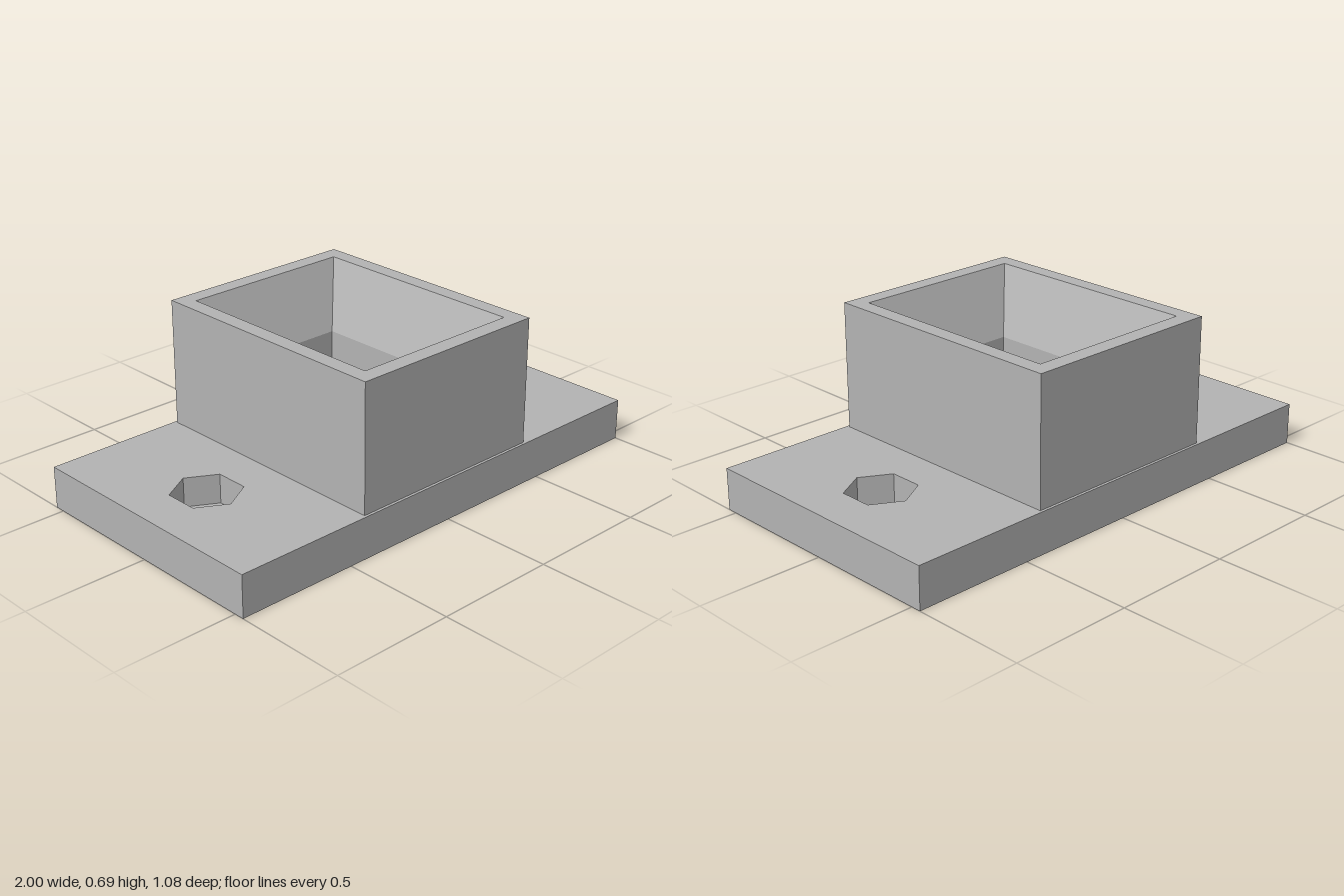
import * as THREE from 'three';

// Corner points of a centred rectangle
function rectPoints(hx, hz) {
  return [[-hx, -hz], [hx, -hz], [hx, hz], [-hx, hz]].map(([x, y]) => new THREE.Vector2(x, y));
}

// Regular polygon outline around (cx, 0), with a corner on the z axis
function polygonPoints(cx, radius, sides) {
  return Array.from({ length: sides }, (_, i) => {
    const a = Math.PI / 2 + (i / sides) * Math.PI * 2;
    return new THREE.Vector2(cx + radius * Math.cos(a), radius * Math.sin(a));
  });
}

// Horizontal slab with holes between two heights
function slab(outline, holes, y0, y1) {
  const shape = new THREE.Shape(outline);
  for (const h of holes) shape.holes.push(new THREE.Path(h));
  const geo = new THREE.ExtrudeGeometry(shape, { depth: y1 - y0, bevelEnabled: false });
  geo.rotateX(-Math.PI / 2);
  geo.translate(0, y0, 0);
  return geo;
}

export function createModel() {
  const group = new THREE.Group();
  const grey = new THREE.MeshStandardMaterial({ color: 0xb3b3b3 });
  grey.name = 'grey';
  const add = (name, geo) => {
    const mesh = new THREE.Mesh(geo, grey);
    mesh.name = name;
    group.add(mesh);
  };

  const bore = { x: 0.24, z: 0.345 };
  const mouth = { x: 0.36, z: 0.462 };
  const boltX = 0.708;
  const floorY = 0.05, plateY = 0.17, taperY = 0.425, topY = 0.685;

  const plate = rectPoints(1, 0.541);
  const collar = rectPoints(0.425, 0.53);
  const boreHole = rectPoints(bore.x, bore.z);
  const sides = [-1, 1];

  // Base plate: round bolt holes below, hexagonal nut pockets above
  add('basePlateLower', slab(plate,
    [boreHole, ...sides.map((s) => polygonPoints(s * boltX, 0.072, 48))], 0, floorY));
  add('basePlateUpper', slab(plate,
    [boreHole, ...sides.map((s) => polygonPoints(s * boltX, 0.137, 6))], floorY, plateY));

  // Collar with a straight bore
  add('collarLower', slab(collar, [boreHole], plateY, taperY));

  // Collar top: the bore flares out towards the mouth
  const flare = slab(collar, [boreHole], taperY, topY);
  const pos = flare.attributes.position;
  for (let i = 0; i < pos.count; i++) {
    const x = pos.getX(i), z = pos.getZ(i);
    if (pos.getY(i) > topY - 0.01 && Math.abs(x) < bore.x + 0.01) {
      pos.setX(i, Math.sign(x) * mouth.x);
      pos.setZ(i, Math.sign(z) * mouth.z);
    }
  }
  flare.computeVertexNormals();
  add('collarFlare', flare);

  return group;
}
